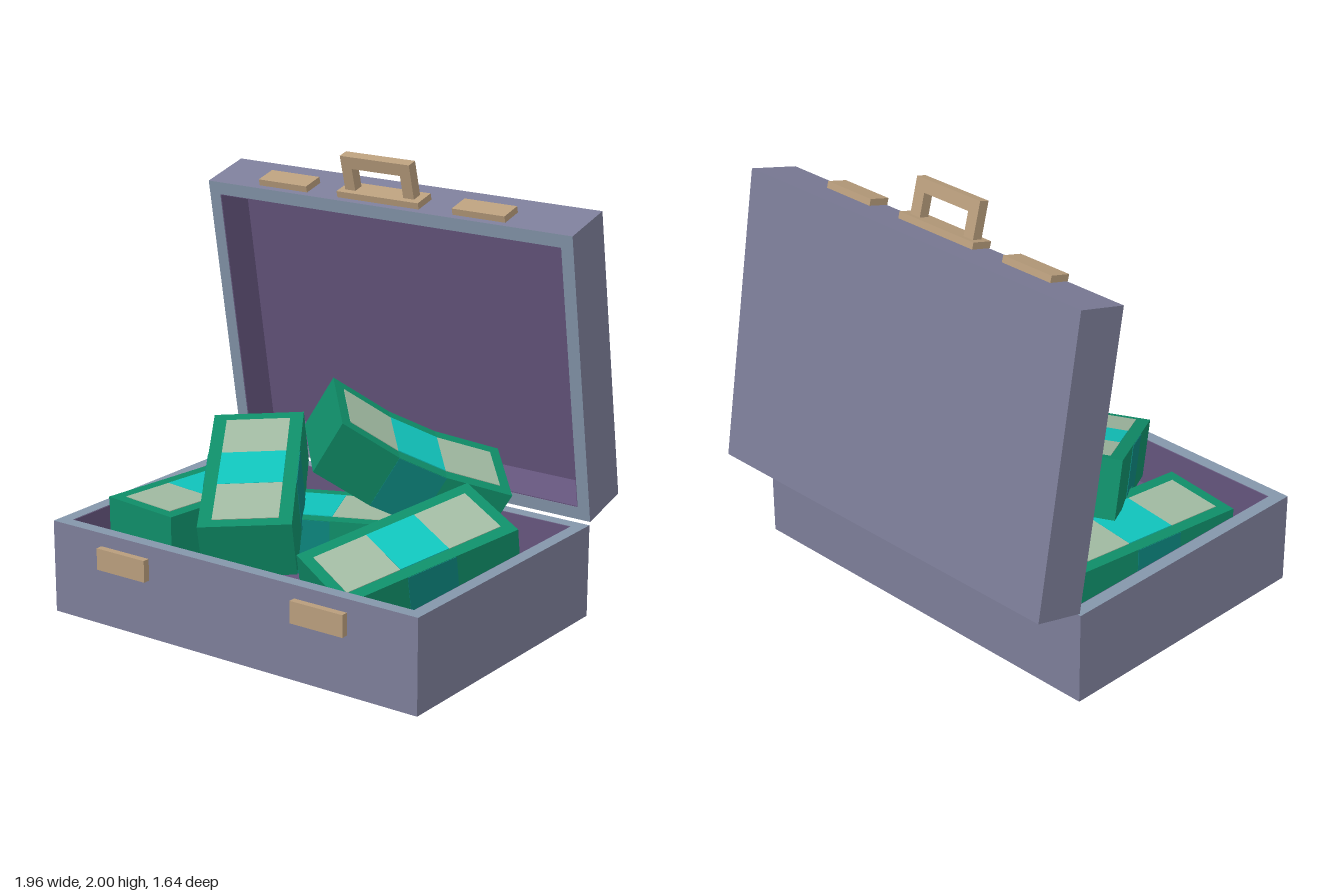
import * as THREE from 'three';

const mat = (color, extra = {}) => new THREE.MeshStandardMaterial({ color, flatShading: true, ...extra });
const caseMat = mat(0x7c7d98), rimMat = mat(0x8496ab), liningMat = mat(0x64547c);
const brassMat = mat(0xb89d7c);
const greenMat = mat(0x0f8d68), noteMat = mat(0x9fb8a0), bandMat = mat(0x10c2ba), wrapMat = mat(0x0c857d);

function add(parent, name, geometry, material) {
  const mesh = new THREE.Mesh(geometry, material);
  mesh.name = name;
  parent.add(mesh);
  return mesh;
}

// Upright rectangular frame: outer w x d, wall t, from y0 to y1
function frame(w, d, t, y0, y1) {
  const rect = (Type, a, b) => new Type([[-a, -b], [a, -b], [a, b], [-a, b]].map(p => new THREE.Vector2(...p)));
  const shape = rect(THREE.Shape, w / 2, d / 2);
  shape.holes.push(rect(THREE.Path, w / 2 - t, d / 2 - t));
  return new THREE.ExtrudeGeometry(shape, { depth: y1 - y0, bevelEnabled: false })
    .rotateX(-Math.PI / 2).translate(0, y0, 0);
}

// Open tray with walls, a bottom slab and a lining; the matrix places it
function tray(name, w, h, d, floor, matrix) {
  const wall = 0.06, skin = 0.004;
  const group = new THREE.Group();
  group.name = name;
  const put = (part, geometry, material) => add(group, part, geometry.applyMatrix4(matrix), material);
  put(name + 'Walls', frame(w, d, wall, floor, h), [rimMat, caseMat]);
  put(name + 'Bottom', new THREE.BoxGeometry(w, floor, d).translate(0, floor / 2, 0), caseMat);
  put(name + 'LiningWalls', frame(w - 2 * wall, d - 2 * wall, skin, floor, h - 0.002), liningMat);
  put(name + 'LiningFloor', new THREE.BoxGeometry(w - 2 * wall, skin, d - 2 * wall)
    .translate(0, floor + skin / 2, 0), liningMat);
  return group;
}

// Banded stack of notes; its top centre is at the origin, length along x
const LEN = 0.86, WID = 0.41, HGT = 0.27, BAND = 0.12;
function bundle(name, top, along, across, bend = 0) {
  const group = new THREE.Group();
  group.name = name;
  const piece = (part, x0, x1, grow, width, material, segments = 1) => {
    const g = new THREE.BoxGeometry(x1 - x0, HGT + 2 * grow, width, segments, 1, 1)
      .translate((x0 + x1) / 2, -HGT / 2, 0);
    const p = g.attributes.position;
    for (let i = 0; i < p.count; i++) {
      let x = p.getX(i);
      // Body joints line up with the band, and both ends lift
      if (segments === 3 && Math.abs(x) < LEN / 4) x = Math.sign(x) * BAND;
      const lift = bend * Math.max(0, Math.abs(x) - BAND) / (LEN / 2 - BAND);
      p.setXYZ(i, x, p.getY(i) + lift, p.getZ(i));
    }
    g.computeVertexNormals();
    add(group, part, g, material);
  };
  const end = LEN / 2 - 0.05, face = WID - 0.12;
  piece('noteStack', -LEN / 2, LEN / 2, 0, WID, greenMat, 3);
  piece('noteFaceA', -end, -BAND, 0.003, face, noteMat);
  piece('noteFaceB', BAND, end, 0.003, face, noteMat);
  piece('band', -BAND, BAND, 0.004, face, bandMat);
  piece('bandSides', -BAND, BAND, -0.002, WID + 0.005, wrapMat);

  // Orient from the length and width directions
  const x = new THREE.Vector3(...along).normalize();
  const y = new THREE.Vector3(...across).cross(x).normalize();
  if (y.y < 0) y.negate();
  const z = new THREE.Vector3().crossVectors(x, y);
  group.applyMatrix4(new THREE.Matrix4().makeBasis(x, y, z).setPosition(...top));
  return group;
}

export function createModel() {
  const model = new THREE.Group();
  model.name = 'briefcase';

  // Lower half
  model.add(tray('base', 1.96, 0.43, 1.35, 0.19, new THREE.Matrix4().setPosition(0, 0, 0.105)));

  // Open lid, slightly skewed and leaning forward
  const lidPlace = new THREE.Matrix4().makeBasis(
    new THREE.Vector3(1, 0, 0),
    new THREE.Vector3(0, -0.065, 0.245).normalize(),
    new THREE.Vector3(0, -1.335, -0.225).normalize(),
  ).setPosition(0, 1.1775, -0.7075);
  model.add(tray('lid', 1.96, 0.2535, 1.356, 0.06, lidPlace));

  // Latches on the front of the base
  const latchX = [-0.555, 0.503];
  for (const x of latchX) {
    add(model, 'baseLatch', new THREE.BoxGeometry(0.27, 0.1, 0.033), brassMat).position.set(x, 0.325, 0.808);
  }

  // Latches and carrying handle on the lid edge
  const fittings = new THREE.Group();
  fittings.name = 'lidFittings';
  fittings.position.set(0, 1.82, -0.41);
  fittings.rotation.x = THREE.MathUtils.degToRad(15);
  for (const x of latchX) {
    add(fittings, 'lidLatch', new THREE.BoxGeometry(0.27, 0.03, 0.105), brassMat).position.x = x;
  }
  add(fittings, 'handlePlate', new THREE.BoxGeometry(0.44, 0.03, 0.105), brassMat).position.x = -0.03;
  const grip = new THREE.Shape([
    [-0.22, 0.01], [-0.165, 0.01], [-0.165, 0.122], [0.095, 0.122],
    [0.095, 0.01], [0.152, 0.01], [0.152, 0.18], [-0.22, 0.18],
  ].map(p => new THREE.Vector2(...p)));
  add(fittings, 'handle', new THREE.ExtrudeGeometry(grip, { depth: 0.05, bevelEnabled: false })
    .translate(0, 0, -0.025), brassMat);
  model.add(fittings);

  // Heaped bundles
  model.add(
    bundle('leftBundle', [-0.66, 0.47, 0.075], [0.11, 0, -0.85], [0.85, 0, 0.11]),
    bundle('middleBundle', [-0.26, 0.68, 0.265], [0.45, -0.25, 0.69], [0.35, 0.025, -0.22]),
    bundle('lowerBundle', [-0.14, 0.45, -0.03], [0.92, 0, -0.4], [0.4, 0, 0.92]),
    bundle('topBundle', [0.28, 0.76, -0.24], [0.49, -0.37, -0.55], [0.27, -0.09, 0.31], 0.045),
    bundle('rightBundle', [0.55, 0.495, 0.23], [-0.37, -0.19, 0.73], [0.36, -0.085, 0.14]),
  );
  return model;
}
